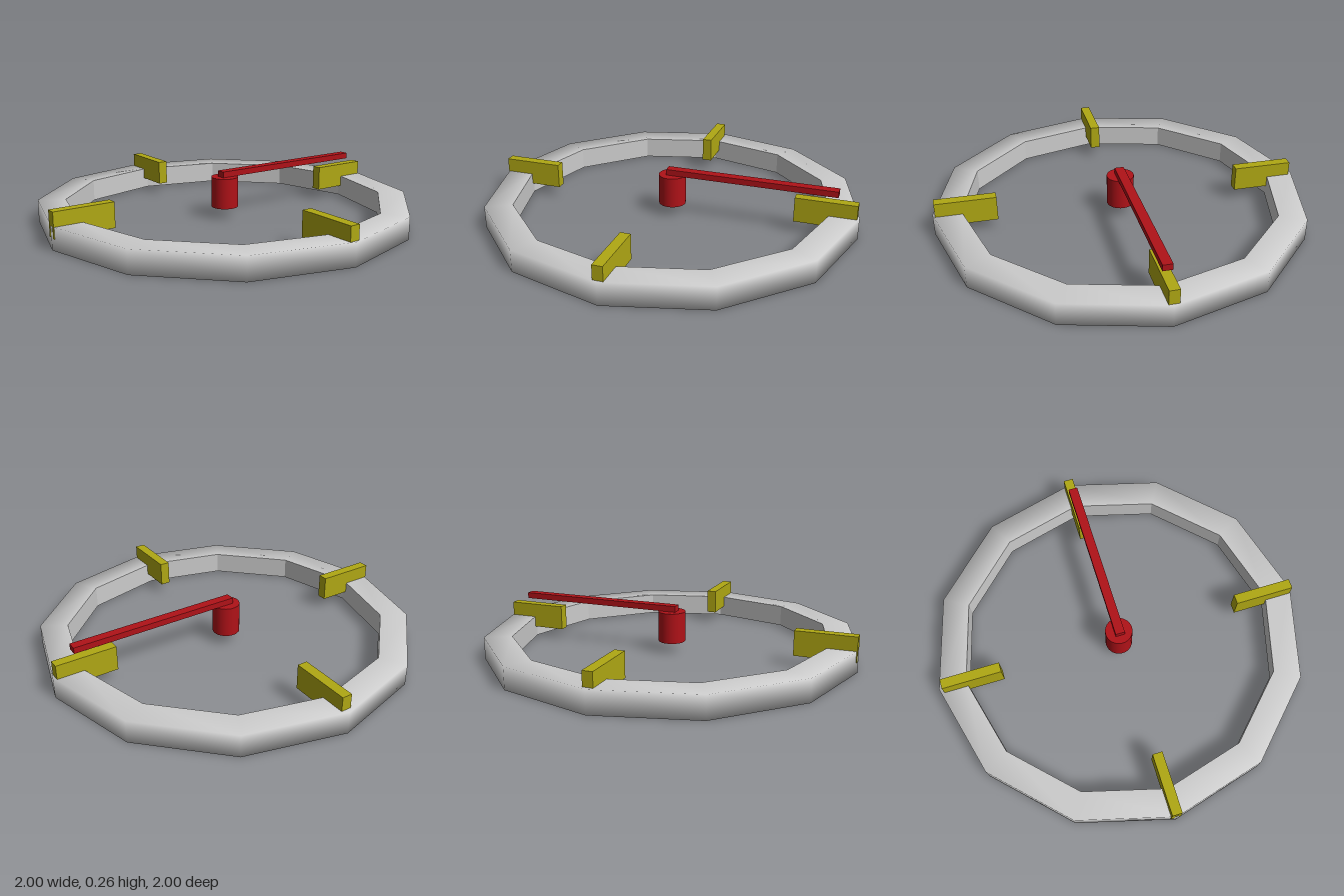
import * as THREE from 'three';

export function createModel() {
  const model = new THREE.Group();
  const grey = new THREE.MeshStandardMaterial({ color: 0xcccccc });
  const greyFlat = new THREE.MeshStandardMaterial({ color: 0xcccccc, flatShading: true });
  const yellow = new THREE.MeshStandardMaterial({ color: 0xb0a814 });
  const red = new THREE.MeshStandardMaterial({ color: 0xb01218 });

  const add = (name, geometry, material, x = 0, y = 0, z = 0) => {
    const mesh = new THREE.Mesh(geometry, material);
    mesh.name = name;
    mesh.position.set(x, y, z);
    model.add(mesh);
    return mesh;
  };

  // Twelve-sided rim: softly shaded outside, top and bottom; faceted inside wall
  const sides = 12, inner = 0.853, outer = 1, height = 0.118;
  const lathe = (points) =>
    new THREE.LatheGeometry(points.map(([r, y]) => new THREE.Vector2(r, y)), sides);
  add('rimOuter', lathe([[inner, 0], [outer, 0], [outer, height], [inner, height]]), grey);
  add('rimInnerWall', lathe([[inner, height], [inner, 0]]), greyFlat);

  // Four marker blocks sunk into the rim, at the quarter points
  const block = new THREE.BoxGeometry(0.053, 0.133, 0.32);
  const markers = [
    ['frontMarker', -0.003, 0.837, 0],
    ['backMarker', -0.003, -0.829, 0],
    ['leftMarker', 0.827, 0, Math.PI / 2],
    ['rightMarker', -0.815, 0, Math.PI / 2],
  ];
  for (const [name, x, z, turn] of markers) {
    add(name, block, yellow, x, 0.1265, z).rotation.y = turn;
  }

  // Central hub with a long pointer towards the back
  add('hub', new THREE.CylinderGeometry(0.073, 0.073, 0.165, 32), red, 0, 0.1425, 0);
  add('pointer', new THREE.BoxGeometry(0.05, 0.032, 0.915), red, 0, 0.241, -0.43);

  return model;
}
